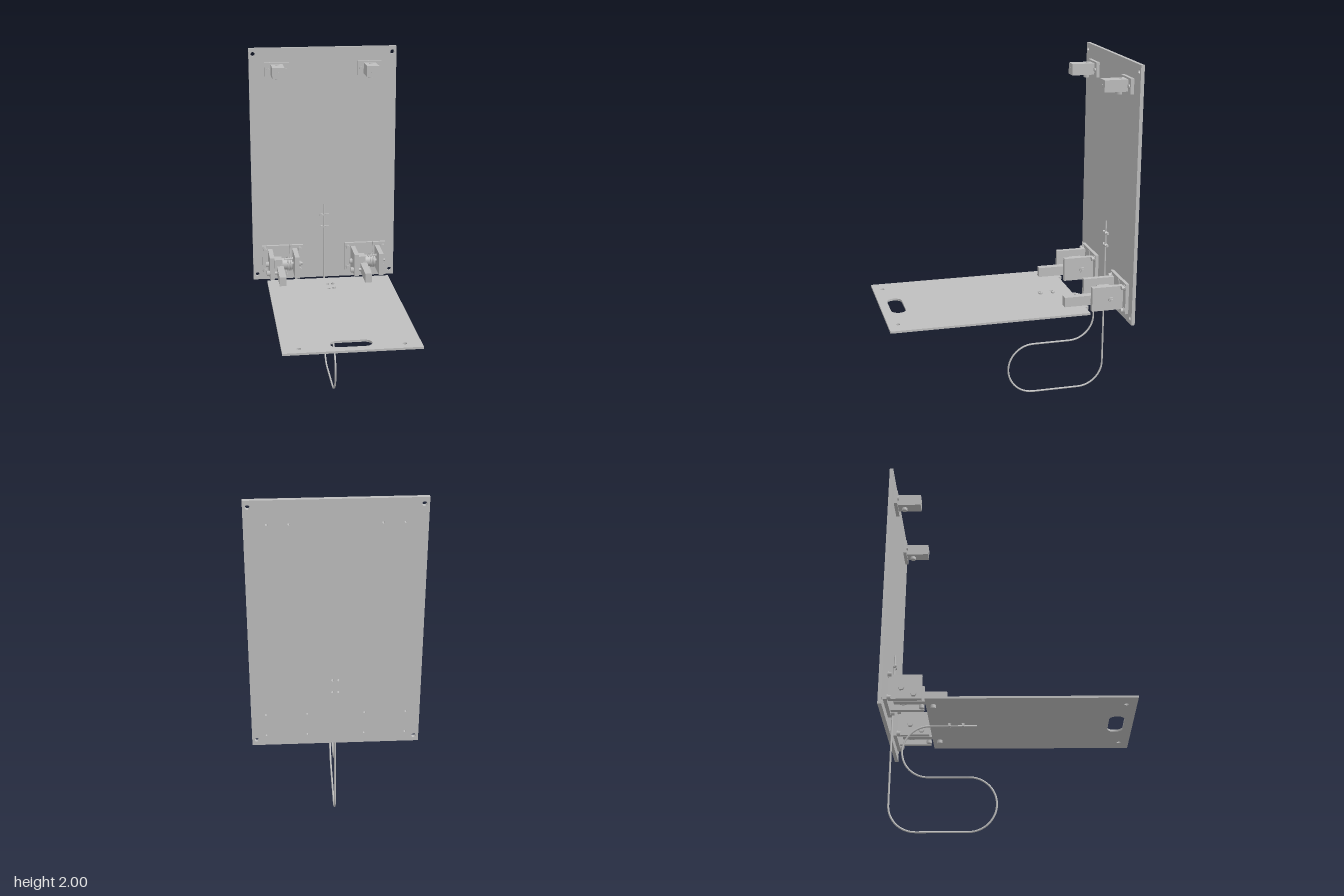
import * as THREE from 'three';

const grey = new THREE.MeshStandardMaterial({ color: 0xbfbfbf });
grey.name = 'plain grey';

function add(group, name, geometry, x = 0, y = 0, z = 0) {
  const mesh = new THREE.Mesh(geometry, grey);
  mesh.name = name;
  mesh.position.set(x, y, z);
  group.add(mesh);
  return mesh;
}

// Box given by its limits along each axis
function block(group, name, x0, x1, y0, y1, z0, z1) {
  return add(group, name, new THREE.BoxGeometry(x1 - x0, y1 - y0, z1 - z0),
    (x0 + x1) / 2, (y0 + y1) / 2, (z0 + z1) / 2);
}

// Cylinder or hexagonal prism centred on a point, along the named axis
function rod(group, name, axis, r, length, x, y, z, sides = 24) {
  const g = new THREE.CylinderGeometry(r, r, length, sides);
  if (axis === 'x') g.rotateZ(Math.PI / 2);
  if (axis === 'z') g.rotateX(Math.PI / 2);
  return add(group, name, sides === 6 ? g.toNonIndexed() : g, x, y, z);
}

// Flat sheet with round holes listed as [x, y, radius]
function sheet(x0, x1, y0, y1, depth, holes, extra = []) {
  const s = new THREE.Shape();
  s.moveTo(x0, y0).lineTo(x1, y0).lineTo(x1, y1).lineTo(x0, y1).closePath();
  for (const [x, y, r] of holes) s.holes.push(new THREE.Path().absarc(x, y, r, 0, Math.PI * 2, true));
  s.holes.push(...extra);
  return new THREE.ExtrudeGeometry(s, { depth, bevelEnabled: false, curveSegments: 16 });
}

const FACE = -0.655; // front face of the back plate

// Hinge unit, modelled around its bracket centre
function hinge(name) {
  const g = new THREE.Group();
  g.name = name;
  block(g, 'hingePlate', -0.128, 0.128, 0.605, 0.78, FACE, -0.636);
  for (const x of [-0.11, 0.107]) {
    for (const y of [0.622, 0.755]) {
      rod(g, 'plateWasher', 'z', 0.017, 0.005, x, y, -0.634);
      rod(g, 'plateBolt', 'z', 0.013, 0.018, x, y, -0.626, 6);
    }
  }
  // Cheeks and pivot
  block(g, 'outerCheek', -0.092, -0.064, 0.622, 0.76, -0.636, -0.457);
  block(g, 'innerCheek', 0.06, 0.088, 0.622, 0.76, -0.636, -0.457);
  rod(g, 'pivotShaft', 'x', 0.01, 0.21, 0, 0.685, -0.565);
  rod(g, 'pivotHub', 'x', 0.036, 0.07, 0.015, 0.685, -0.565, 32);
  rod(g, 'pivotHead', 'x', 0.017, 0.02, -0.1, 0.685, -0.565, 6);
  rod(g, 'pivotNut', 'x', 0.017, 0.015, 0.096, 0.685, -0.565, 6);
  rod(g, 'pivotEnd', 'x', 0.008, 0.012, 0.108, 0.685, -0.565);
  rod(g, 'stopBolt', 'x', 0.009, 0.07, -0.065, 0.65, -0.5);
  rod(g, 'stopHead', 'x', 0.017, 0.02, -0.1, 0.65, -0.5, 6);
  rod(g, 'springPin', 'x', 0.005, 0.05, 0.025, 0.73, -0.525);
  rod(g, 'springPinHead', 'x', 0.01, 0.005, 0.05, 0.73, -0.525);
  // Arm carrying the tray
  block(g, 'hingeArm', -0.045, -0.004, 0.626, 0.682, -0.61, -0.327);
  block(g, 'armBoss', -0.058, -0.012, 0.645, 0.722, -0.6, -0.53);
  for (const z of [-0.4, -0.46]) rod(g, 'armBolt', 'y', 0.015, 0.018, -0.025, 0.604, z, 6);
  // Spring with one leg up against the plate and one leg forward
  const p = [new THREE.Vector3(0.045, 0.79, -0.62), new THREE.Vector3(0.045, 0.76, -0.626)];
  for (let i = 0; i <= 48; i++) {
    const a = Math.PI - 0.2 + i / 48 * Math.PI * 6.5;
    p.push(new THREE.Vector3(0.045 - 0.03 * i / 48, 0.685 + 0.041 * Math.sin(a), -0.565 + 0.041 * Math.cos(a)));
  }
  p.push(new THREE.Vector3(0.013, 0.645, -0.47));
  add(g, 'torsionSpring', new THREE.TubeGeometry(new THREE.CatmullRomCurve3(p, false, 'centripetal'), 240, 0.003, 6));
  return g;
}

// Upper stop block on its mounting plate
function stop(name) {
  const g = new THREE.Group();
  g.name = name;
  block(g, 'stopPlate', -0.073, 0.073, 1.831, 1.916, FACE, -0.636);
  block(g, 'stopBody', -0.036, 0.036, 1.841, 1.906, -0.636, -0.505);
  for (const x of [-0.053, 0.053]) rod(g, 'stopScrew', 'z', 0.011, 0.008, x, 1.872, -0.633);
  rod(g, 'stopKnob', 'y', 0.016, 0.018, 0, 1.832, -0.6, 6);
  rod(g, 'stopTopBolt', 'y', 0.01, 0.003, 0, 1.906, -0.605);
  rod(g, 'stopFrontHole', 'z', 0.009, 0.003, 0, 1.872, -0.505);
  return g;
}

// Cable loop in the y-z plane, from straight runs and arcs
function cable() {
  const path = new THREE.CurvePath();
  const v = (y, z) => new THREE.Vector3(0, y, z);
  const line = (y0, z0, y1, z1) => path.add(new THREE.LineCurve3(v(y0, z0), v(y1, z1)));
  const arc = (cy, cz, r, a0, a1) => {
    const pts = [];
    for (let i = 0; i <= 16; i++) {
      const a = a0 + (a1 - a0) * i / 16;
      pts.push(v(cy + r * Math.sin(a), cz + r * Math.cos(a)));
    }
    path.add(new THREE.CatmullRomCurve3(pts));
  };
  const H = Math.PI / 2;
  line(1.037, -0.648, 0.156, -0.648);
  arc(0.156, -0.498, 0.15, -2 * H, -H);
  line(0.006, -0.498, 0.006, -0.22);
  arc(0.158, -0.22, 0.152, -H, H);
  line(0.31, -0.22, 0.31, -0.438);
  arc(0.458, -0.438, 0.148, -H, -3 * H);
  line(0.606, -0.438, 0.606, -0.18);
  return new THREE.TubeGeometry(path, 300, 0.0055, 10);
}

export function createModel() {
  const model = new THREE.Group();
  model.name = 'foldingTray';

  // Back plate with mounting holes
  const holes = [];
  for (const s of [-1, 1]) {
    for (const y of [0.592, 1.965]) holes.push([s * 0.417, y, 0.012]);
    for (const d of [-0.053, 0.053]) holes.push([s * 0.278 + d, 1.872, 0.006]);
    for (const d of [-0.11, 0.107]) {
      for (const y of [0.622, 0.755]) holes.push([-0.001 + s * 0.258 + d, y, 0.006]);
    }
    for (const y of [0.89, 0.965]) holes.push([s * 0.016, y, 0.007]);
  }
  add(model, 'backPlate', sheet(-0.442, 0.442, 0.558, 2, 0.02, holes), 0, 0, -0.675);

  // Tray with hand slot
  const slot = new THREE.Path();
  slot.absarc(0.071, -0.583, 0.042, Math.PI / 2, -Math.PI / 2, true);
  slot.absarc(-0.071, -0.583, 0.042, -Math.PI / 2, -Math.PI * 1.5, true);
  slot.closePath();
  const trayHoles = [[-0.28, -0.62, 0.012], [0.28, -0.62, 0.012]];
  for (const x of [-0.016, 0.016]) for (const y of [0.255, 0.33]) trayHoles.push([x, y, 0.01]);
  const tray = sheet(-0.371, 0.371, -0.675, 0.44, 0.012, trayHoles, [slot]);
  add(model, 'tray', tray.rotateX(-Math.PI / 2), 0, 0.614, 0);

  // Hinges and stops
  const names = ['right', 'left'];
  [-1, 1].forEach((s, i) => {
    const h = hinge(names[i] + 'Hinge');
    h.position.x = s * 0.259;
    const t = stop(names[i] + 'Stop');
    t.position.x = s * 0.278;
    model.add(h, t);
  });

  // Cable and its clips
  add(model, 'cable', cable());
  for (const y of [0.89, 0.965]) {
    block(model, 'plateClip', -0.024, 0.034, y - 0.006, y + 0.006, FACE, -0.643);
    rod(model, 'plateClipScrew', 'z', 0.009, 0.014, 0.016, y, -0.643);
    rod(model, 'plateClipScrew', 'z', 0.009, 0.014, -0.016, y, -0.643);
  }
  for (const z of [-0.255, -0.33]) {
    block(model, 'trayClip', -0.026, 0.026, 0.598, 0.612, z - 0.006, z + 0.006);
    rod(model, 'trayClipScrew', 'y', 0.006, 0.035, 0.016, 0.618, z);
    rod(model, 'trayClipNut', 'y', 0.011, 0.009, 0.016, 0.63, z, 6);
  }
  return model;
}
